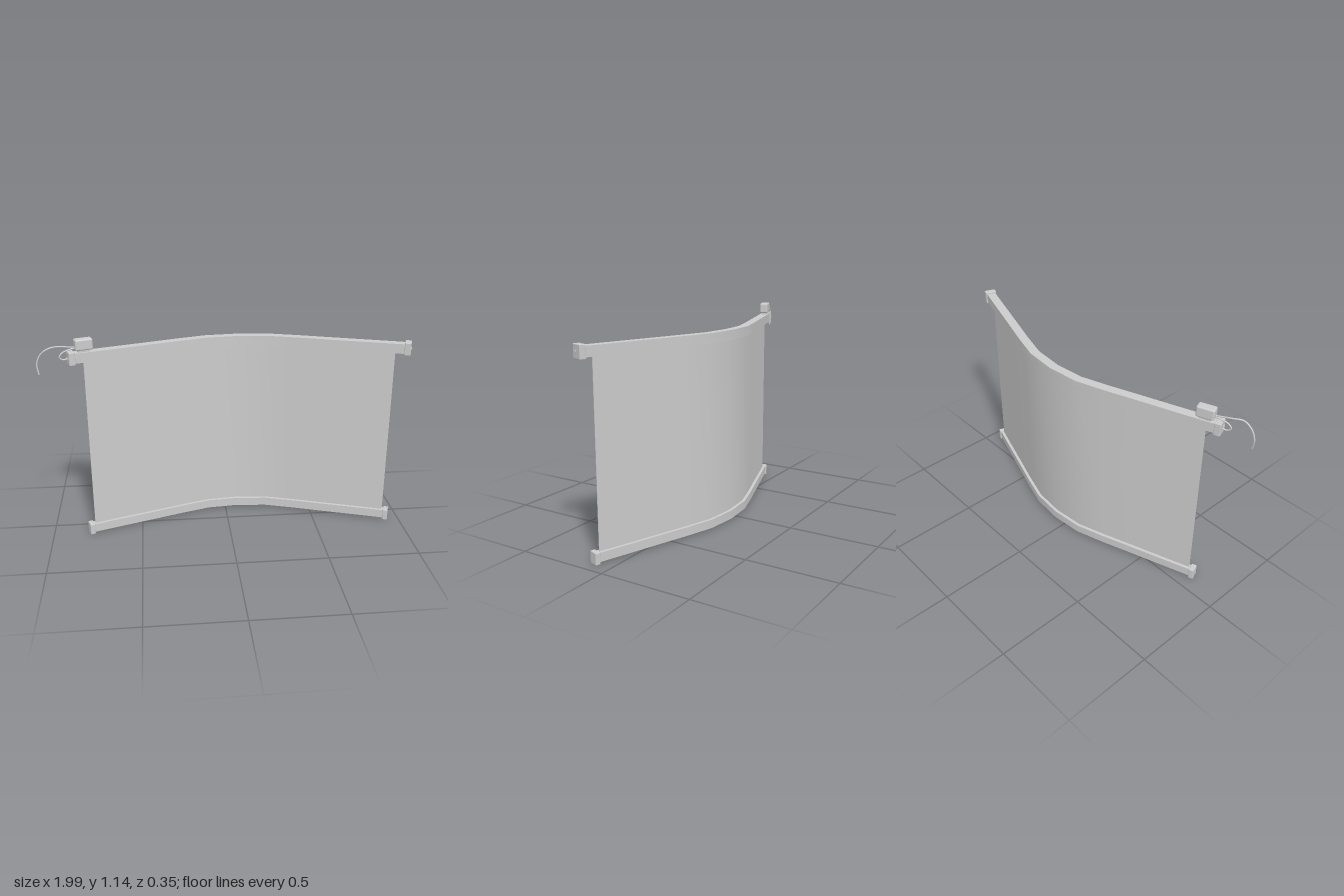
import * as THREE from 'three';
import { toCreasedNormals } from 'three/addons/utils/BufferGeometryUtils.js';
import { RoundedBoxGeometry } from 'three/addons/geometries/RoundedBoxGeometry.js';

const CX = 0.069; // plane of symmetry of the curved screen
const ANGLE = 0.345; // direction of the rails at their ends

// Half of the bowed plan line: distance from the middle, z
const HALF = [[0, -0.147], [0.175, -0.131], [0.335, -0.081], [0.52, -0.017], [0.7, 0.044], [0.92, 0.12]];

function zAt(d) {
  const i = Math.max(1, HALF.findIndex((p) => p[0] >= d));
  const [a, b] = [HALF[i - 1], HALF[i]];
  return a[1] + (b[1] - a[1]) * (d - a[0]) / (b[0] - a[0]);
}

// Plan line cut off at a given half length
function planLine(end) {
  const half = HALF.filter((p) => p[0] < end).concat([[end, zAt(end)]]);
  const left = half.slice(1).reverse().map(([d, z]) => new THREE.Vector2(CX - d, -z));
  return left.concat(half.map(([d, z]) => new THREE.Vector2(CX + d, -z)));
}

// Curved band of even thickness standing between two heights
function band(end, thickness, y0, y1) {
  const line = planLine(end);
  const offset = (s) => line.map((p, i) => {
    const a = line[Math.max(0, i - 1)], b = line[Math.min(line.length - 1, i + 1)];
    const t = b.clone().sub(a).normalize();
    return new THREE.Vector2(p.x - t.y * s, p.y + t.x * s);
  });
  const shape = new THREE.Shape([...offset(-thickness / 2), ...offset(thickness / 2).reverse()]);
  const g = new THREE.ExtrudeGeometry(shape, { depth: y1 - y0, bevelEnabled: false });
  g.rotateX(-Math.PI / 2).translate(0, y0, 0);
  return toCreasedNormals(g, 0.5);
}

export function createModel() {
  const root = new THREE.Group();
  const mat = new THREE.MeshStandardMaterial({ color: 0xcccccc });
  const add = (name, geometry, parent = root) => {
    const m = new THREE.Mesh(geometry, mat);
    m.name = name;
    parent.add(m);
    return m;
  };

  // Rails and hanging fabric
  add('topRail', band(0.895, 0.05, 1.02, 1.073));
  add('bottomRail', band(0.857, 0.038, 0.01, 0.058));
  add('fabric', band(0.836, 0.004, 0.03, 1.04));

  // End caps, with a small knob on the outside of the top ones
  for (const side of [-1, 1]) {
    const name = side < 0 ? 'right' : 'left';
    const cap = (label, d, y, w, h, depth) => {
      const g = new THREE.Group();
      g.name = name + label;
      g.position.set(CX + side * d, y, zAt(d));
      g.rotation.y = -side * ANGLE;
      add('capBody', new RoundedBoxGeometry(w, h, depth, 2, 0.004), g);
      root.add(g);
      return g;
    };
    const top = cap('TopCap', 0.897, 1.047, 0.034, 0.071, 0.064);
    cap('BottomCap', 0.856, 0.032, 0.028, 0.064, 0.053);
    const knob = add('knob', new THREE.CylinderGeometry(0.009, 0.009, 0.006, 12), top);
    knob.rotation.z = Math.PI / 2;
    knob.position.set(side * 0.018, 0, 0.012);
  }

  // Motor box on top of the rail
  const motor = new THREE.Group();
  motor.name = 'motor';
  motor.position.set(-0.762, 1.113, 0.087);
  motor.rotation.y = ANGLE;
  root.add(motor);
  add('motorBody', new RoundedBoxGeometry(0.094, 0.06, 0.048, 3, 0.009), motor);
  add('motorFoot', new THREE.BoxGeometry(0.06, 0.022, 0.03), motor).position.y = -0.036;

  // Power cable and the short loop back into the cap
  const cable = (name, pts) => {
    const curve = new THREE.CatmullRomCurve3(pts.map((p) => new THREE.Vector3(...p)));
    add(name, new THREE.TubeGeometry(curve, 40, 0.0042, 8));
  };
  cable('powerCable', [[-0.79, 1.1, 0.1], [-0.83, 1.105, 0.115], [-0.88, 1.114, 0.13], [-0.93, 1.113, 0.157],
    [-0.973, 1.085, 0.163], [-0.995, 1.035, 0.165], [-0.988, 0.98, 0.169]]);
  cable('loopCable', [[-0.79, 1.097, 0.1], [-0.825, 1.093, 0.11], [-0.87, 1.077, 0.126], [-0.883, 1.056, 0.13],
    [-0.865, 1.041, 0.123], [-0.835, 1.048, 0.112]]);

  return root;
}
